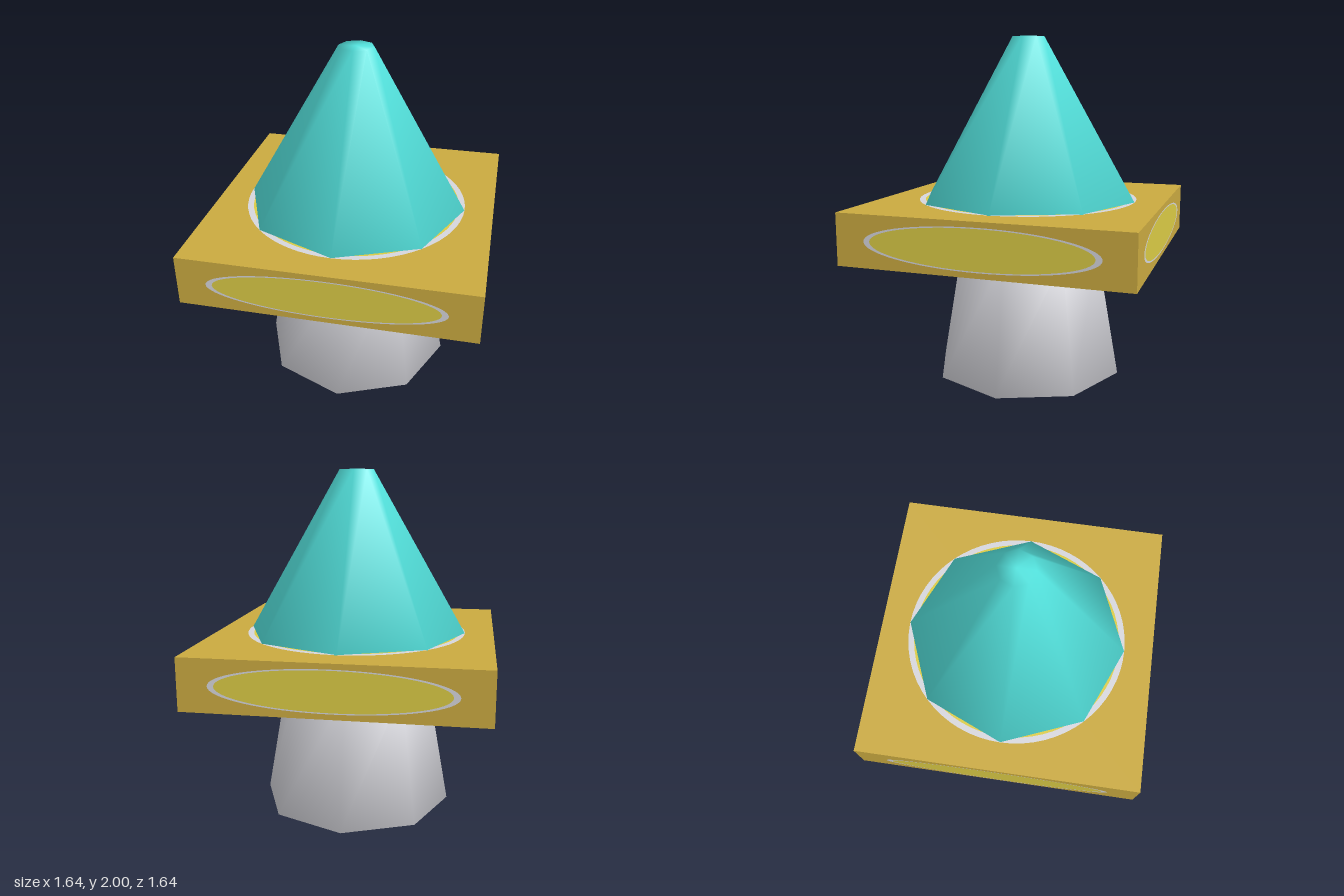
import * as THREE from 'three';
import { mergeVertices } from 'three/addons/utils/BufferGeometryUtils.js';

const material = (name, color) => {
  const m = new THREE.MeshStandardMaterial({ color });
  m.name = name;
  return m;
};

export function createModel() {
  const teal = material('teal', 0x54e4df);
  const ochre = material('ochre', 0xcaaa40);
  const yellow = material('yellow', 0xdacb45);
  const grey = material('pale grey', 0xd6d6dc);

  const model = new THREE.Group();
  model.name = 'model';

  const add = (parent, name, geometry, mat) => {
    const mesh = new THREE.Mesh(geometry, mat);
    mesh.name = name;
    parent.add(mesh);
    return mesh;
  };

  // Eight-sided tapered solid whose normals blend across sides and caps
  const taper = (top, bottom, y0, y1) => {
    const raw = new THREE.CylinderGeometry(top, bottom, y1 - y0, 8);
    raw.deleteAttribute('normal');
    raw.deleteAttribute('uv');
    const g = mergeVertices(raw, 1e-4);
    g.computeVertexNormals();
    return g.translate(0, (y0 + y1) / 2, 0);
  };

  const low = 0.755, high = 1.05, half = 0.817;
  const mid = (low + high) / 2, halfHeight = (high - low) / 2;

  add(model, 'base', taper(0.435, 0.57, 0, low), grey);
  add(model, 'cone', taper(0.1, 0.65, high, 2), teal);
  add(model, 'slab', new THREE.BoxGeometry(half * 2, high - low, half * 2).translate(0, mid, 0), ochre);

  // Painted ringed disc, stretched to fit each face of the slab
  const outer = 0.65, inner = 0.615;
  const addEmblem = (name, stretch, place) => {
    const group = new THREE.Group();
    group.name = name;
    add(group, 'disc', new THREE.CircleGeometry(inner, 64), yellow);
    add(group, 'ring', new THREE.RingGeometry(inner, outer, 64), grey);
    group.scale.y = stretch;
    place(group);
    model.add(group);
  };

  const lift = 0.002;
  ['front', 'left', 'back', 'right'].forEach((side, i) => {
    const a = i * Math.PI / 2;
    addEmblem(side + 'Emblem', halfHeight / half, (g) => {
      g.rotation.y = a;
      g.position.set(Math.sin(a) * (half + lift), mid, Math.cos(a) * (half + lift));
    });
  });
  addEmblem('topEmblem', 1, (g) => {
    g.rotation.x = -Math.PI / 2;
    g.position.y = high + lift;
  });
  addEmblem('bottomEmblem', 1, (g) => {
    g.rotation.x = Math.PI / 2;
    g.position.y = low - lift;
  });

  return model;
}
